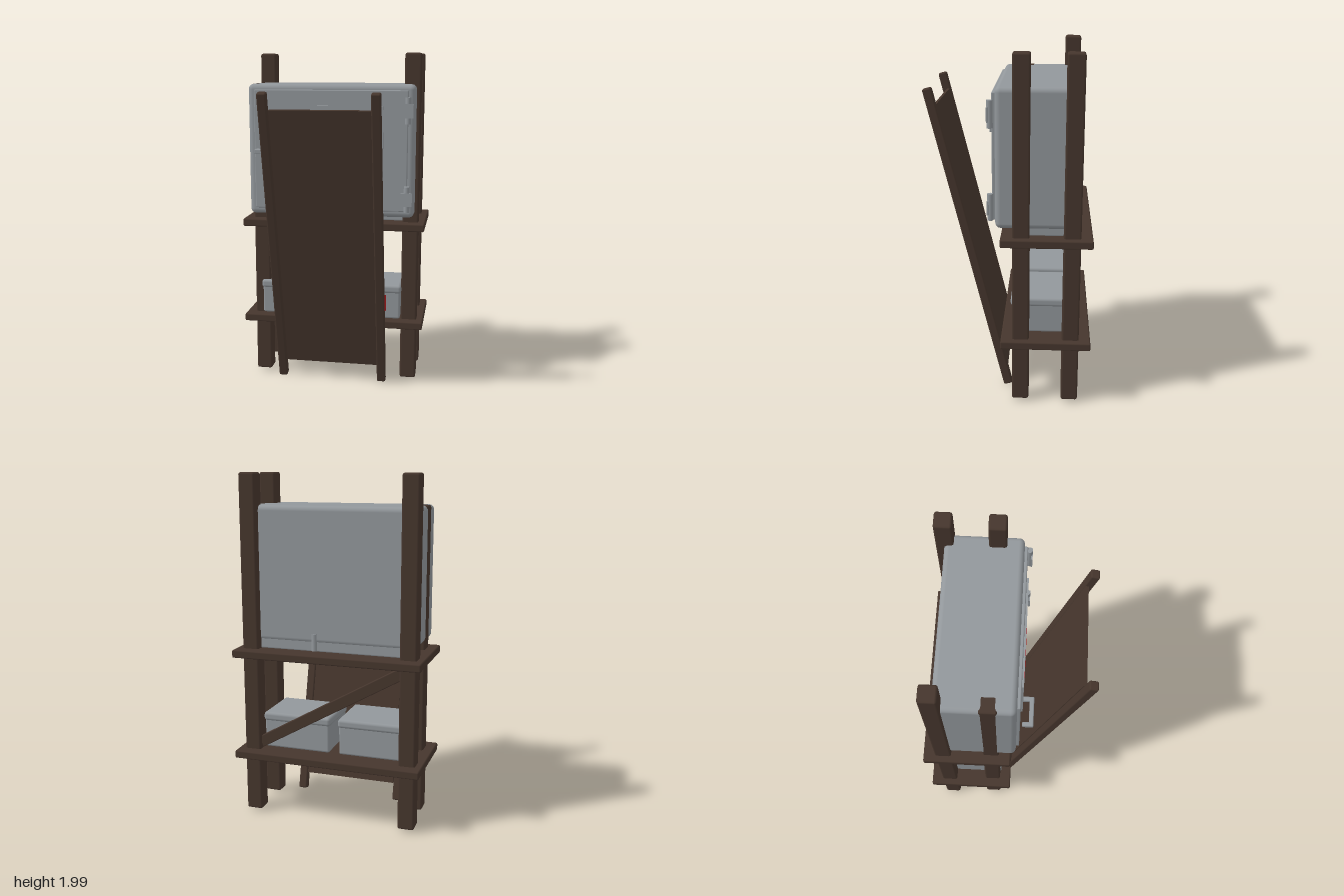
import * as THREE from 'three';
import { RoundedBoxGeometry } from 'three/addons/geometries/RoundedBoxGeometry.js';

function material(name, color) {
  const m = new THREE.MeshStandardMaterial({ color });
  m.name = name;
  return m;
}

export function createModel() {
  const model = new THREE.Group();
  model.name = 'cabinetStand';
  const wood = material('darkWood', 0x46362d);
  const metal = material('greyMetal', 0x92979b);
  const red = material('redLabel', 0x9c1518);

  function add(name, geometry, mat, x, y, z, parent = model) {
    const mesh = new THREE.Mesh(geometry, mat);
    mesh.name = name;
    mesh.position.set(x, y, z);
    parent.add(mesh);
    return mesh;
  }
  // Box given by its limits on each axis, with optional rounded edges
  function block(name, mat, [x0, x1], [y0, y1], [z0, z1], r = 0, seg = 1, parent = model) {
    const size = [x1 - x0, y1 - y0, z1 - z0];
    const geometry = r ? new RoundedBoxGeometry(...size, seg, r) : new THREE.BoxGeometry(...size);
    return add(name, geometry, mat, (x0 + x1) / 2, (y0 + y1) / 2, (z0 + z1) / 2, parent);
  }

  // Four posts; the front right one ends at the cabinet top
  const post = (name, x, z, top) =>
    block(name, wood, [x - 0.048, x + 0.048], [0.02, top], [z - 0.048, z + 0.048], 0.012);
  post('frontLeftPost', 0.465, -0.075, 2);
  post('backLeftPost', 0.465, -0.357, 2);
  post('backRightPost', -0.467, -0.357, 2);
  post('frontRightPost', -0.449, -0.078, 1.822);

  // Shelves
  for (const [name, y] of [['lowerShelf', 0.355], ['upperShelf', 0.962]])
    block(name, wood, [-0.552, 0.552], [y, y + 0.046], [-0.47, 0.037], 0.008);

  // Diagonal brace between the back posts
  const brace = add('brace', new RoundedBoxGeometry(0.98, 0.065, 0.03, 1, 0.005), wood, 0, 0.68, -0.365);
  brace.rotation.z = -0.52;

  // Cabinet body, base and door
  block('cabinetBody', metal, [-0.496, 0.49], [1.05, 1.822], [-0.36, 0.066], 0.03, 3);
  block('cabinetBase', metal, [-0.47, 0.465], [1.005, 1.09], [-0.355, -0.07], 0.01);
  block('cabinetDoor', metal, [-0.455, 0.45], [1.09, 1.79], [0.055, 0.084], 0.006);
  block('doorPanel', metal, [-0.31, 0.31], [1.29, 1.7], [0.08, 0.095]);
  block('doorLabel', red, [-0.145, 0.145], [1.3, 1.41], [0.094, 0.098]);

  // Cable stub at the back
  add('cableStub', new THREE.CylinderGeometry(0.018, 0.018, 0.1, 12), metal, 0.09, 1.06, -0.35);

  // Cranked door handle
  const handle = new THREE.Group();
  handle.name = 'doorHandle';
  model.add(handle);
  const y = [1.422, 1.448];
  block('handleStem', metal, [-0.298, -0.272], y, [0.08, 0.155], 0.006, 1, handle);
  block('handleBar', metal, [-0.44, -0.272], y, [0.13, 0.155], 0.006, 1, handle);
  block('handleGrip', metal, [-0.44, -0.414], y, [0.095, 0.155], 0.006, 1, handle);

  // Door hinges: pin and leaf
  for (const [name, base] of [['upperHinge', 1.6], ['lowerHinge', 1.09]]) {
    const hinge = new THREE.Group();
    hinge.name = name;
    model.add(hinge);
    add('hingePin', new THREE.CylinderGeometry(0.017, 0.017, 0.15, 12), metal, 0.45, base + 0.075, 0.093, hinge);
    block('hingeLeaf', metal, [0.412, 0.482], [base + 0.035, base + 0.115], [0.1, 0.11], 0, 1, hinge);
  }

  // Two lidded boxes on the lower shelf
  for (const [name, x] of [['leftBox', 0.212], ['rightBox', -0.248]]) {
    const box = new THREE.Group();
    box.name = name;
    box.position.x = x;
    model.add(box);
    block('boxBody', metal, [-0.2, 0.2], [0.4, 0.58], [-0.338, -0.022], 0.012, 2, box);
    block('boxLid', metal, [-0.207, 0.207], [0.56, 0.613], [-0.345, -0.015], 0.018, 2, box);
    block('boxLabel', red, [-0.115, 0.115], [0.45, 0.55], [-0.024, -0.018], 0, 1, box);
  }

  // Leaning board between two rails
  const board = new THREE.Group();
  board.name = 'leaningBoard';
  board.position.set(0.0, 0.898, 0.224);
  board.rotation.x = 0.243;
  model.add(board);
  for (const [name, x] of [['leftRail', 0.308], ['rightRail', -0.312]])
    block(name, wood, [x - 0.026, x + 0.026], [-0.915, 0.915], [-0.025, 0.025], 0.009, 1, board);
  block('boardPanel', wood, [-0.284, 0.28], [-0.812, 0.815], [-0.022, -0.004], 0, 1, board);

  return model;
}
